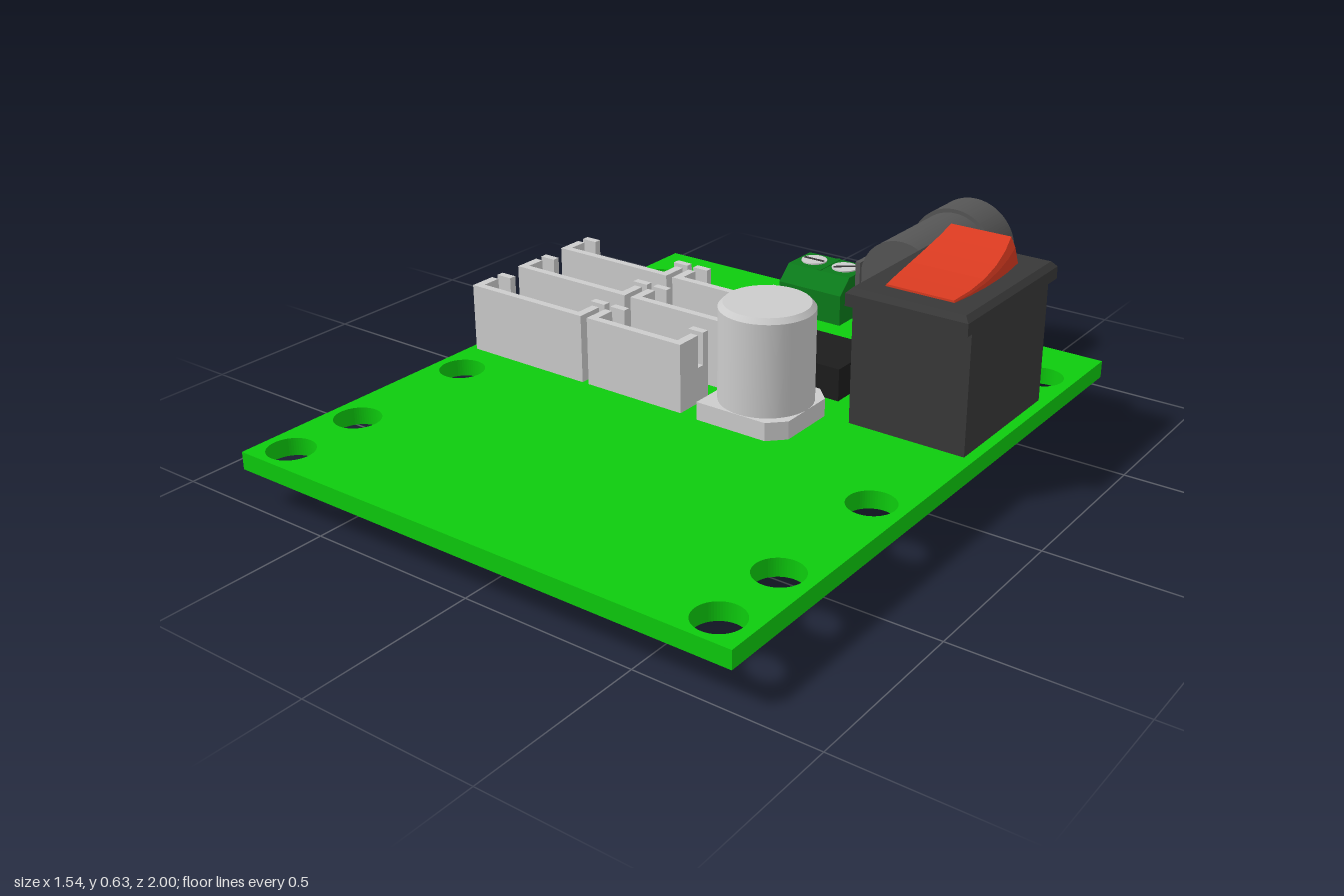
import * as THREE from 'three';

const mats = {};
const mat = (color) => (mats[color] ??= new THREE.MeshStandardMaterial({ color }));
const GREY = 0xcccccc, GREEN = 0x0dcc0d, TERMINAL = 0x0b7a1a, BLACK = 0x383838, JACK = 0x555555;
const CHIP = 0x1c1c1c, GOLD = 0xd8b830, RED = 0xd83a20;
const TOP = 0.155; // upper face of the board

function add(parent, name, geometry, color) {
  const mesh = new THREE.Mesh(geometry, mat(color));
  mesh.name = name;
  parent.add(mesh);
  return mesh;
}

function group(parent, name) {
  const g = new THREE.Group();
  g.name = name;
  parent.add(g);
  return g;
}

// Box given by its limits on each axis
function box(parent, name, [x0, x1], [y0, y1], [z0, z1], color) {
  const g = new THREE.BoxGeometry(x1 - x0, y1 - y0, z1 - z0);
  g.translate((x0 + x1) / 2, (y0 + y1) / 2, (z0 + z1) / 2);
  return add(parent, name, g, color);
}

const polygon = (pts) => new THREE.Shape(pts.map(([a, b]) => new THREE.Vector2(a, b)));
const extrude = (shape, depth, extra = {}) =>
  new THREE.ExtrudeGeometry(shape, { depth, bevelEnabled: false, curveSegments: 32, ...extra });

// Extrusion of a (z, y) profile between x0 and x1
function alongX(pts, x0, x1) {
  const g = extrude(polygon(pts.map(([z, y]) => [-z, y])), x1 - x0);
  return g.rotateY(Math.PI / 2).translate(x0, 0, 0);
}

function circleHole(x, y, r) {
  return new THREE.Path().absarc(x, y, r, 0, Math.PI * 2, true);
}

function makeBoard(root) {
  const s = polygon([[-0.775, -1], [0.77, -1], [0.77, 0.84], [-0.775, 0.84]]);
  for (const x of [-0.685, 0.675])
    for (const z of [-0.635, 0.285, 0.685, 0.915]) s.holes.push(circleHole(x, -z, 0.065));
  add(root, 'circuitBoard', extrude(s, 0.05).rotateX(-Math.PI / 2).translate(0, 0.105, 0), GREEN);
}

// Open-topped pin header with slotted end walls
function makeHeader(root, x0, x1, zc, pins) {
  const g = group(root, 'pinHeader');
  const z0 = zc - 0.0625, z1 = zc + 0.0625, h = 0.355, low = 0.29;
  box(g, 'headerFloor', [x0, x1], [TOP, 0.2], [z0, z1], GREY);
  box(g, 'headerFrontWall', [x0, x1], [0.2, h], [z1 - 0.022, z1], GREY);
  box(g, 'headerBackWall', [x0 + 0.05, x1 - 0.05], [0.2, low], [z0, z0 + 0.022], GREY);
  for (const [a, b, c] of [[x0, x0 + 0.025, x0 + 0.05], [x1, x1 - 0.025, x1 - 0.05]]) {
    const wall = [Math.min(a, b), Math.max(a, b)], corner = [Math.min(a, c), Math.max(a, c)];
    box(g, 'headerCornerPost', corner, [0.2, h], [z0, z0 + 0.022], GREY);
    box(g, 'headerSlotSill', wall, [0.2, 0.26], [z0 + 0.022, z0 + 0.045], GREY);
    box(g, 'headerEndWall', wall, [0.2, h], [z0 + 0.045, z1 - 0.022], GREY);
  }
  for (const x of pins)
    box(g, 'headerPin', [x - 0.009, x + 0.009], [0.06, 0.32], [zc + 0.0, zc + 0.018], GOLD);
}

function makeTerminal(root) {
  const g = group(root, 'screwTerminal');
  const x0 = -0.205, x1 = 0.015, xm = (x0 + x1) / 2;
  add(g, 'terminalBody', alongX([[-0.79, TOP], [-0.62, TOP], [-0.62, 0.25], [-0.67, 0.295], [-0.79, 0.295]], x0, x1), TERMINAL);
  // Front frame with one wire opening per contact
  const front = polygon([[x0, TOP], [x1, TOP], [x1, 0.255], [x0, 0.255]]);
  for (const c of [-0.15, -0.04])
    front.holes.push(polygon([[c - 0.036, 0.17], [c - 0.036, 0.24], [c + 0.036, 0.24], [c + 0.036, 0.17]]));
  add(g, 'terminalFront', extrude(front, 0.05).translate(0, 0, -0.84), TERMINAL);
  add(g, 'terminalSlope', alongX([[-0.84, 0.255], [-0.79, 0.255], [-0.79, 0.295]], x0, x1), TERMINAL);
  box(g, 'terminalDivider', [xm - 0.006, xm + 0.006], [0.25, 0.297], [-0.79, -0.67], TERMINAL);
  for (const [x, turn] of [[-0.153, 0], [-0.042, 0.7]]) {
    add(g, 'terminalScrew', new THREE.CylinderGeometry(0.04, 0.04, 0.02, 24).translate(x, 0.289, -0.735), GREY);
    const slot = add(g, 'screwSlot', new THREE.BoxGeometry(0.07, 0.004, 0.009), BLACK);
    slot.position.set(x, 0.299, -0.735);
    slot.rotation.y = turn;
  }
}

// Straight sides with a round top, and an optional round hole
function archShape(halfWidth, hole) {
  const cx = 0.252, cy = 0.363;
  const s = new THREE.Shape();
  s.moveTo(cx - halfWidth, TOP).lineTo(cx + halfWidth, TOP).lineTo(cx + halfWidth, cy);
  s.absarc(cx, cy, halfWidth, 0, Math.PI, false);
  s.lineTo(cx - halfWidth, TOP);
  if (hole) s.holes.push(circleHole(cx, cy, hole));
  return s;
}

function makeJack(root) {
  const g = group(root, 'powerJack');
  add(g, 'jackFlange', extrude(archShape(0.142, 0.112), 0.13).translate(0, 0, -1), JACK);
  add(g, 'jackBarrel', extrude(archShape(0.13, 0.085), 0.25).translate(0, 0, -0.87), JACK);
  add(g, 'jackBack', extrude(archShape(0.13), 0.065).translate(0, 0, -0.62), JACK);
  for (const x of [0.11, 0.379]) box(g, 'jackSide', [x, x + 0.015], [TOP, 0.405], [-0.87, -0.545], JACK);
  // Tapered mouth of the socket
  const mouth = new THREE.CylinderGeometry(0.085, 0.112, 0.13, 32, 1, true).rotateX(Math.PI / 2);
  add(g, 'jackMouth', mouth.translate(0.252, 0.363, -0.935), JACK).material =
    new THREE.MeshStandardMaterial({ color: JACK, side: THREE.DoubleSide });
  const pin = new THREE.CylinderGeometry(0.03, 0.03, 0.33, 20).rotateX(Math.PI / 2);
  add(g, 'jackCentrePin', pin.translate(0.252, 0.363, -0.785), JACK);
  for (const z of [-0.545, -0.74]) box(g, 'jackLead', [0.225, 0.275], [0.045, TOP], [z - 0.007, z + 0.007], GREY);
  box(g, 'jackSideLead', [0.243, 0.257], [0.045, TOP], [-0.668, -0.615], GREY);
}

function makeSwitch(root) {
  const g = group(root, 'rockerSwitch');
  box(g, 'switchBody', [0.395, 0.74], [TOP, 0.51], [-0.49, -0.062], BLACK);
  box(g, 'switchBezel', [0.39, 0.745], [0.5, 0.535], [-0.53, -0.03], BLACK);
  // Chamfered rim: the upper corners of a box drawn inward
  const rim = new THREE.BoxGeometry(0.355, 0.015, 0.5);
  const p = rim.attributes.position;
  for (let i = 0; i < p.count; i++)
    if (p.getY(i) > 0) p.setXYZ(i, p.getX(i) * 0.92, p.getY(i), p.getZ(i) * 0.95);
  rim.computeVertexNormals();
  add(g, 'switchRim', rim.translate(0.5675, 0.5425, -0.28), BLACK);
  // Rocker: hollow-curved ramp rings, bowed in plan, with bevelled long edges
  const stations = [[-0.1, 0.556], [-0.17, 0.562], [-0.24, 0.572], [-0.31, 0.588], [-0.37, 0.608], [-0.42, 0.632], [-0.455, 0.55]];
  const pos = [], index = [];
  stations.forEach(([z, y], i) => {
    const w = 0.113 - 0.45 * (z + 0.27) ** 2, b = Math.min(0.03, (y - 0.54) * 0.3);
    for (const [x, h] of [[-w, 0.54], [-w, y - b], [-w + b * 0.5, y], [w - b * 0.5, y], [w, y - b], [w, 0.54]])
      pos.push(0.5675 + x, h, z);
    if (i === 0) return;
    for (let k = 0; k < 6; k++) {
      const a = (i - 1) * 6 + k, n = (i - 1) * 6 + (k + 1) % 6;
      index.push(a, n, a + 6, n, n + 6, a + 6);
    }
  });
  const last = (stations.length - 1) * 6;
  for (let k = 1; k < 5; k++) index.push(0, k + 1, k, last, last + k, last + k + 1);
  let rocker = new THREE.BufferGeometry();
  rocker.setAttribute('position', new THREE.Float32BufferAttribute(pos, 3));
  rocker.setIndex(index);
  rocker = rocker.toNonIndexed();
  rocker.computeVertexNormals();
  add(g, 'rocker', rocker, RED).material = new THREE.MeshStandardMaterial({ color: RED, side: THREE.DoubleSide });
  for (const z of [-0.275, -0.443]) box(g, 'switchLead', [0.54, 0.592], [0, TOP], [z - 0.007, z + 0.007], GREY);
}

function makeCapacitor(root) {
  const g = group(root, 'capacitor');
  // Square foot with two clipped corners
  const foot = polygon([[0.055, -0.16], [0.275, -0.16], [0.32, -0.115], [0.32, 0.06], [0.275, 0.105], [0.055, 0.105]]);
  add(g, 'capacitorFoot', extrude(foot, 0.052).rotateX(-Math.PI / 2).translate(0, TOP, 0), GREY);
  const side = new THREE.CylinderGeometry(0.131, 0.131, 0.265, 40, 1, true);
  add(g, 'capacitorCan', side.translate(0.189, 0.3375, 0.027), GREY);
  const cap = new THREE.CylinderGeometry(0.118, 0.131, 0.014, 40);
  add(g, 'capacitorTop', cap.translate(0.189, 0.477, 0.027), GREY);
}

export function createModel() {
  const root = new THREE.Group();
  root.name = 'powerBoard';
  makeBoard(root);
  for (const z of [-0.297, -0.102, 0.091]) {
    makeHeader(root, -0.752, -0.347, z, [-0.675, -0.592, -0.512, -0.43]);
    makeHeader(root, -0.325, -0.003, z, [-0.245, -0.165, -0.084]);
  }
  makeTerminal(root);
  makeJack(root);
  makeSwitch(root);
  makeCapacitor(root);
  box(root, 'chip', [0.07, 0.3], [TOP, 0.25], [-0.36, -0.16], CHIP);
  return root;
}
